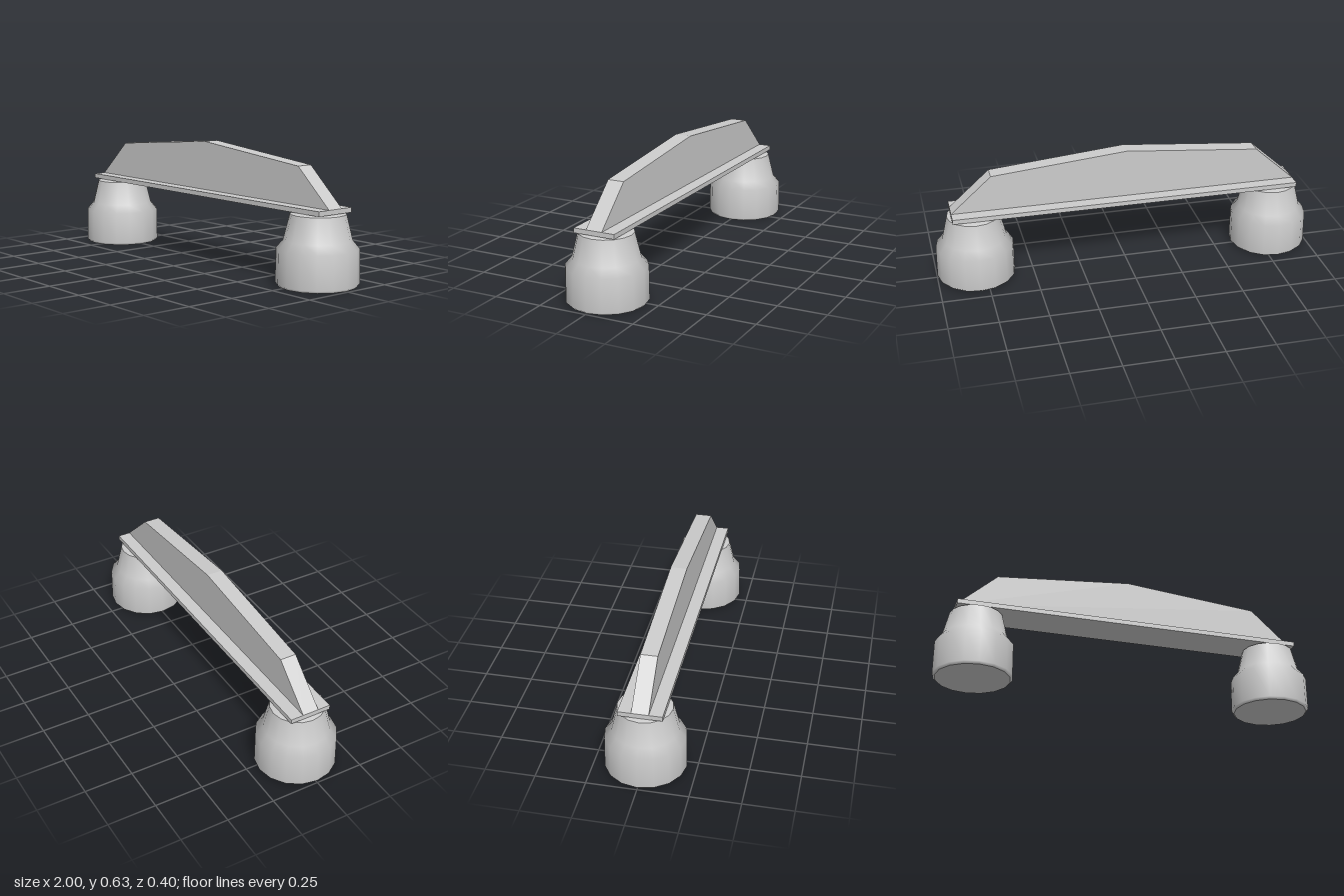
import * as THREE from 'three';

const material = new THREE.MeshStandardMaterial({ color: 0xcccccc });

function addMesh(group, name, geometry, x = 0, y = 0, z = 0) {
  const mesh = new THREE.Mesh(geometry, material);
  mesh.name = name;
  mesh.position.set(x, y, z);
  group.add(mesh);
  return mesh;
}

export function createModel() {
  const group = new THREE.Group();
  group.name = 'handle';

  // Two round feet: bevelled base, straight drum, shoulder and tapered neck.
  // Repeated points keep the base rim and the neck top crisp.
  const footProfile = [
    [0, 0], [0.19, 0], [0.19, 0], [0.202, 0.012], [0.2, 0.18],
    [0.166, 0.22], [0.135, 0.346], [0.135, 0.346], [0.105, 0.355], [0, 0.356],
  ].map(([r, y]) => new THREE.Vector2(r, y));
  const footGeometry = new THREE.LatheGeometry(footProfile, 16);
  addMesh(group, 'leftFoot', footGeometry, 0.796);
  addMesh(group, 'rightFoot', footGeometry, -0.796);

  // Flat plate joining the feet
  addMesh(group, 'plate', new THREE.BoxGeometry(1.82, 0.024, 0.216), 0, 0.367, 0);

  // Upright grip with a gently peaked top and sloping ends
  const grip = new THREE.Shape([
    [-0.91, 0.379], [0.91, 0.379], [0.7, 0.567], [0, 0.631], [-0.7, 0.567],
  ].map(([x, y]) => new THREE.Vector2(x, y)));
  const depth = 0.084;
  const gripGeometry = new THREE.ExtrudeGeometry(grip, { depth, bevelEnabled: false });
  addMesh(group, 'grip', gripGeometry, 0, 0, -depth / 2);

  return group;
}
